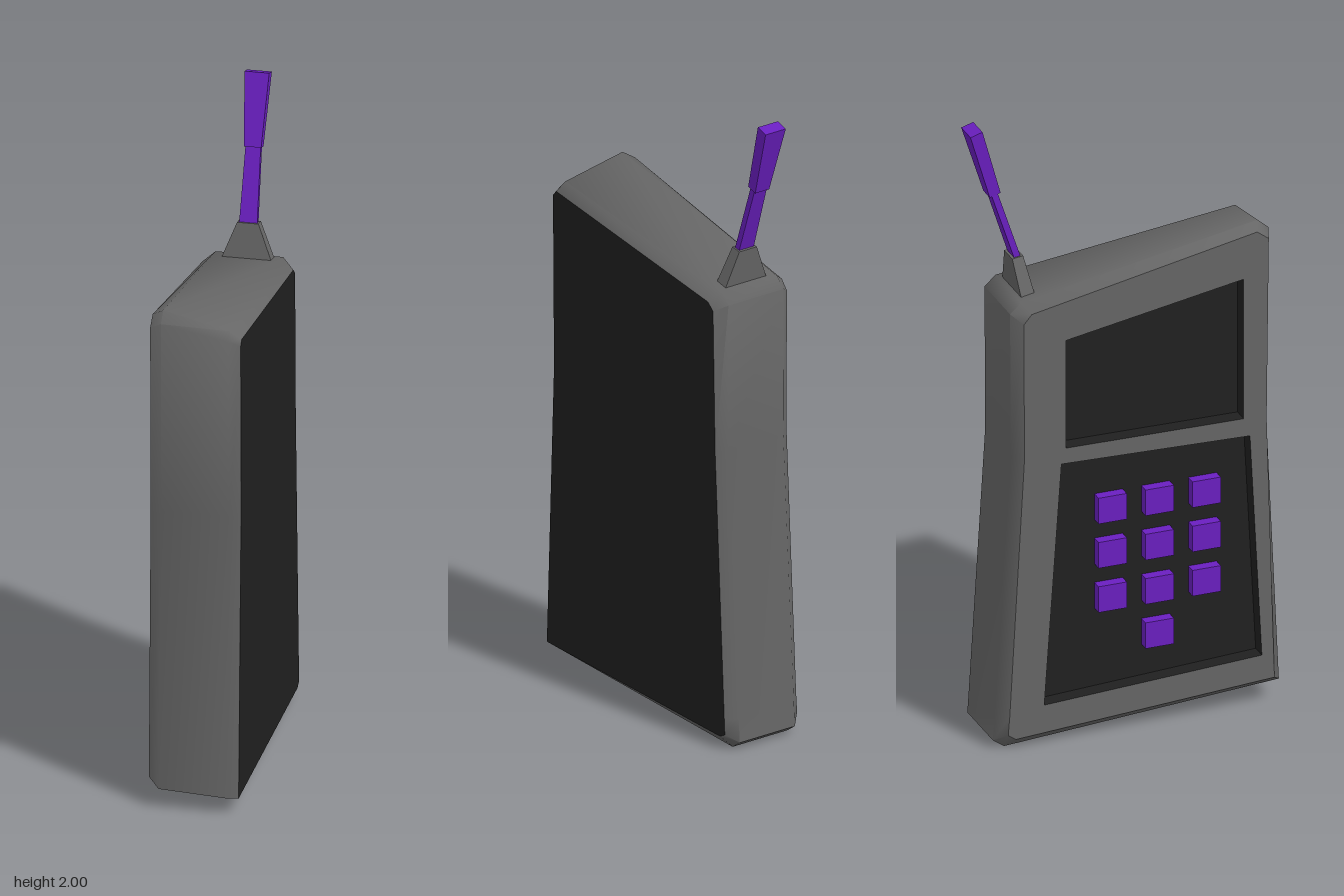
import * as THREE from 'three';
import { toCreasedNormals } from 'three/addons/utils/BufferGeometryUtils.js';

const material = (color, side = THREE.FrontSide) => new THREE.MeshStandardMaterial({ color, side });
const casing = material(0x666666);
const dark = material(0x202020, THREE.DoubleSide);
const purple = material(0x6a1fc0);

// Outlines are [z, y] points: up the front edge, back over the top, down the back
const rimOutline = [[0.478, 0.065], [0.437, 0.95], [0.445, 1.56], [0.41, 1.59], [-0.345, 1.452],
  [-0.38, 1.42], [-0.378, 0.95], [-0.43, 0.1], [-0.435, 0.025], [-0.4, 0]];
const rimOutlineLow = rimOutline.map(([z, y]) => [z, y]);
rimOutlineLow[0] = [0.478, 0.053];
rimOutlineLow[2] = [0.445, 1.52];
rimOutlineLow[3] = [0.42, 1.545];
const keyFace = [[0.45, 0.09], [0.425, 0.95], [0.432, 1.54], [0.395, 1.568], [-0.325, 1.425],
  [-0.35, 1.395], [-0.348, 0.95], [-0.395, 0.11], [-0.4, 0.05], [-0.375, 0.033]];
const plainFace = [[0.465, 0.05], [0.43, 0.95], [0.435, 1.505], [0.42, 1.522], [-0.325, 1.422],
  [-0.35, 1.4], [-0.36, 0.95], [-0.405, 0.1], [-0.408, 0.05], [-0.385, 0.038]];

const screenWindow = [[0.352, 0.96], [0.352, 1.42], [-0.215, 1.32], [-0.215, 0.965]];
const keypadWindow = [[0.41, 0.17], [0.372, 0.9], [-0.23, 0.915], [-0.285, 0.13]];
const FACE_X = -0.14, BACK_X = 0.135, FLOOR_X = -0.09;

// Side surface joining closed outlines placed at successive x positions
function loft(sections) {
  const n = sections[0].outline.length;
  const positions = sections.flatMap(({ x, outline }) => outline.flatMap(([z, y]) => [x, y, z]));
  const index = [];
  for (let s = 0; s < sections.length - 1; s++) {
    for (let i = 0; i < n; i++) {
      const a = s * n + i, b = s * n + (i + 1) % n, c = b + n, d = a + n;
      index.push(a, d, c, a, c, b);
    }
  }
  const geo = new THREE.BufferGeometry();
  geo.setAttribute('position', new THREE.Float32BufferAttribute(positions, 3));
  geo.setIndex(index);
  return toCreasedNormals(geo, 0.95);
}

// Flat panel in a plane of constant x, facing -x or +x
function panel(outline, x, facing, holes = []) {
  const points = (o) => o.map(([z, y]) => new THREE.Vector2(-facing * z, y));
  const shape = new THREE.Shape(points(outline));
  shape.holes = holes.map((h) => new THREE.Path(points(h)));
  return new THREE.ShapeGeometry(shape).rotateY(facing * Math.PI / 2).translate(x, 0, 0);
}

// Box with its base at the origin, widened or narrowed towards the top
function taperedBox(w0, d0, w1, d1, height) {
  const geo = new THREE.BoxGeometry(1, height, 1).translate(0, height / 2, 0);
  const p = geo.attributes.position;
  for (let i = 0; i < p.count; i++) {
    const top = p.getY(i) > height / 2;
    p.setX(i, p.getX(i) * (top ? w1 : w0));
    p.setZ(i, p.getZ(i) * (top ? d1 : d0));
  }
  geo.computeVertexNormals();
  return geo;
}

export function createModel() {
  const group = new THREE.Group();
  const add = (name, geo, mat, parent = group) => {
    const mesh = new THREE.Mesh(geo, mat);
    mesh.name = name;
    parent.add(mesh);
    return mesh;
  };

  // Casing with bevelled edges and two windows in its key side
  add('casingSides', loft([
    { x: FACE_X, outline: keyFace },
    { x: -0.105, outline: rimOutline },
    { x: 0.1, outline: rimOutlineLow },
    { x: BACK_X, outline: plainFace },
  ]), casing);
  add('casingFace', panel(keyFace, FACE_X, -1, [screenWindow, keypadWindow]), casing);
  add('backPanel', panel(plainFace, BACK_X, 1), dark);

  // Recessed screen and keypad wells
  for (const [name, outline] of [['screen', screenWindow], ['keypad', keypadWindow]]) {
    add(name + 'Walls', loft([{ x: FACE_X, outline }, { x: FLOOR_X, outline }]), dark);
    add(name + 'Floor', panel(outline, FLOOR_X, -1), dark);
  }

  // Ten keys: three rows of three and one below the middle
  const keys = new THREE.Group();
  keys.name = 'keys';
  group.add(keys);
  for (let row = 0; row < 4; row++) {
    for (let col = -1; col <= 1; col++) {
      if (row === 3 && col !== 0) continue;
      add('key', new THREE.BoxGeometry(0.035, 0.085, 0.09), purple, keys)
        .position.set(FLOOR_X - 0.0165, 0.73 - row * 0.146, 0.09 + col * 0.15);
    }
  }

  // Antenna leaning backwards from a wedge-shaped foot
  const foot = add('antennaFoot', taperedBox(0.17, 0.045, 0.065, 0.035, 0.135), casing);
  foot.position.set(0, 1.432, -0.308);
  foot.rotation.x = -0.14;
  const stem = add('antennaStem', taperedBox(0.055, 0.02, 0.046, 0.02, 0.24), purple);
  stem.position.set(0, 1.555, -0.323);
  stem.rotation.x = -0.315;
  const tip = add('antennaTip', taperedBox(0.052, 0.036, 0.075, 0.04, 0.225), purple);
  tip.position.set(0, 1.78, -0.396);
  tip.rotation.x = -0.29;

  return group;
}
